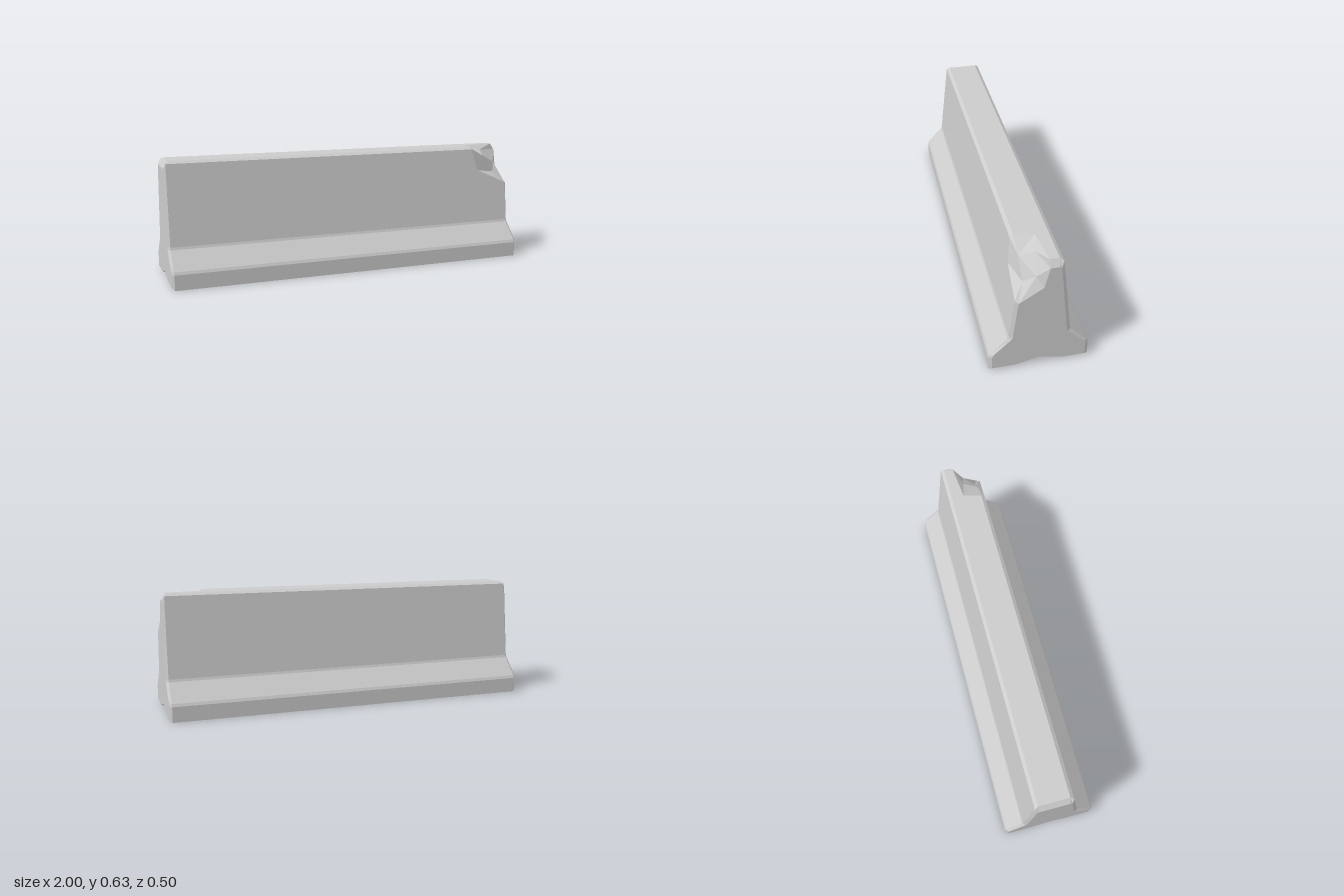
import * as THREE from 'three';

const V = (x, y, z) => new THREE.Vector3(x, y, z);

// Flat polygon (counter-clockwise from outside) -> triangles
function addFace(out, pts) {
  const n = V(0, 0, 0);
  pts.forEach((p, i) => n.add(p.clone().cross(pts[(i + 1) % pts.length])));
  n.normalize();
  const u = pts[1].clone().sub(pts[0]);
  u.addScaledVector(n, -u.dot(n)).normalize();
  const v = n.clone().cross(u);
  const flat = pts.map((p) => new THREE.Vector2(p.dot(u), p.dot(v)));
  for (const t of THREE.ShapeUtils.triangulateShape(flat, [])) {
    for (const i of t) out.push(pts[i].x, pts[i].y, pts[i].z);
  }
}

function makeMesh(name, positions) {
  const g = new THREE.BufferGeometry();
  g.setAttribute('position', new THREE.Float32BufferAttribute(positions, 3));
  g.computeVertexNormals();
  const m = new THREE.Mesh(g, new THREE.MeshStandardMaterial({ color: 0xcccccc, flatShading: true }));
  m.name = name;
  return m;
}

// Closed [z, y] profile: up the front, over the top, down the back, along the notched base
function closeProfile(half, foot, notch) {
  const back = half.map(([z, y]) => [-z, y]).reverse();
  return [...half, ...back, [-foot[0], foot[1]], notch, foot];
}

export function createModel() {
  const outer = closeProfile(
    [[0.248, 0], [0.248, 0.08], [0.241, 0.095], [0.155, 0.187], [0.15, 0.2], [0.1, 0.62], [0.082, 0.632]],
    [0.125, 0], [0, 0.03]);
  const inset = closeProfile(
    [[0.232, 0.012], [0.232, 0.083], [0.225, 0.1], [0.137, 0.188], [0.132, 0.2], [0.088, 0.59], [0.08, 0.597]],
    [0.115, 0.012], [0, 0.04]);
  const ring = (s) => outer.map(([z, y], i) => V(s * (i === 6 || i === 7 ? 0.975 : 0.987), y, z));
  const cap = (s) => inset.map(([z, y]) => V(s, y, z));
  const L = ring(-1), R = ring(1), capL = cap(-1), capR = cap(1);
  const count = outer.length;

  // Corners of the broken patch: rim, then inner points
  const topFront = V(0.765, 0.632, 0.082), wallTop = V(0.77, 0.62, 0.1);
  const wallLow = V(0.805, 0.497, 0.1146), edgeLow = V(0.987, 0.42, 0.1238);
  const endLow = V(1, 0.41, 0.1083), endMid = V(1, 0.487, -0.01);
  const endTop = V(1, 0.597, -0.035), topEnd = V(0.975, 0.632, -0.035);
  const topBack = V(0.79, 0.632, -0.015);
  const f = V(0.858, 0.578, 0.08), g = V(0.965, 0.53, 0.02);
  const h = V(0.88, 0.605, 0.005), k = V(0.93, 0.48, 0.075);

  // Long sides, cut around the broken corner
  const body = [];
  const cutSides = {
    4: [L[4], R[4], edgeLow, wallLow, wallTop, L[5]],
    5: [L[5], wallTop, topFront, L[6]],
    6: [L[6], topFront, topBack, topEnd, R[7], L[7]],
  };
  // Bevels at the broken end
  const cutBevels = {
    4: [R[4], capR[4], endLow, edgeLow],
    5: null,
    6: [topEnd, endTop, capR[7], R[7]],
  };
  for (let i = 0; i < count; i++) {
    const j = (i + 1) % count;
    addFace(body, cutSides[i] || [L[i], R[i], R[j], L[j]]);
    addFace(body, [capL[i], L[i], L[j], capL[j]]);
    const bevel = i in cutBevels ? cutBevels[i] : [R[i], capR[i], capR[j], R[j]];
    if (bevel) addFace(body, bevel);
  }

  // End faces
  addFace(body, capL);
  addFace(body, [...capR.slice(0, 5), endLow, endMid, endTop, ...capR.slice(7)].reverse());

  // Facets of the broken corner, all turned outward
  const chip = [];
  const facets = [
    [topFront, wallTop, f], [wallTop, wallLow, f], [wallLow, k, f], [wallLow, edgeLow, k],
    [edgeLow, endLow, k], [endLow, endMid, g], [endLow, g, k], [k, g, f], [g, h, f],
    [g, endMid, endTop], [g, endTop, h], [h, endTop, topEnd], [h, topEnd, topBack],
    [h, topBack, f], [topBack, f, topFront],
  ];
  const outward = V(1, 1, 1);
  for (const [a, b, c] of facets) {
    const n = b.clone().sub(a).cross(c.clone().sub(a));
    addFace(chip, n.dot(outward) > 0 ? [a, b, c] : [a, c, b]);
  }

  const group = new THREE.Group();
  group.name = 'roadBarrier';
  group.add(makeMesh('barrierBody', body), makeMesh('brokenCorner', chip));
  return group;
}
